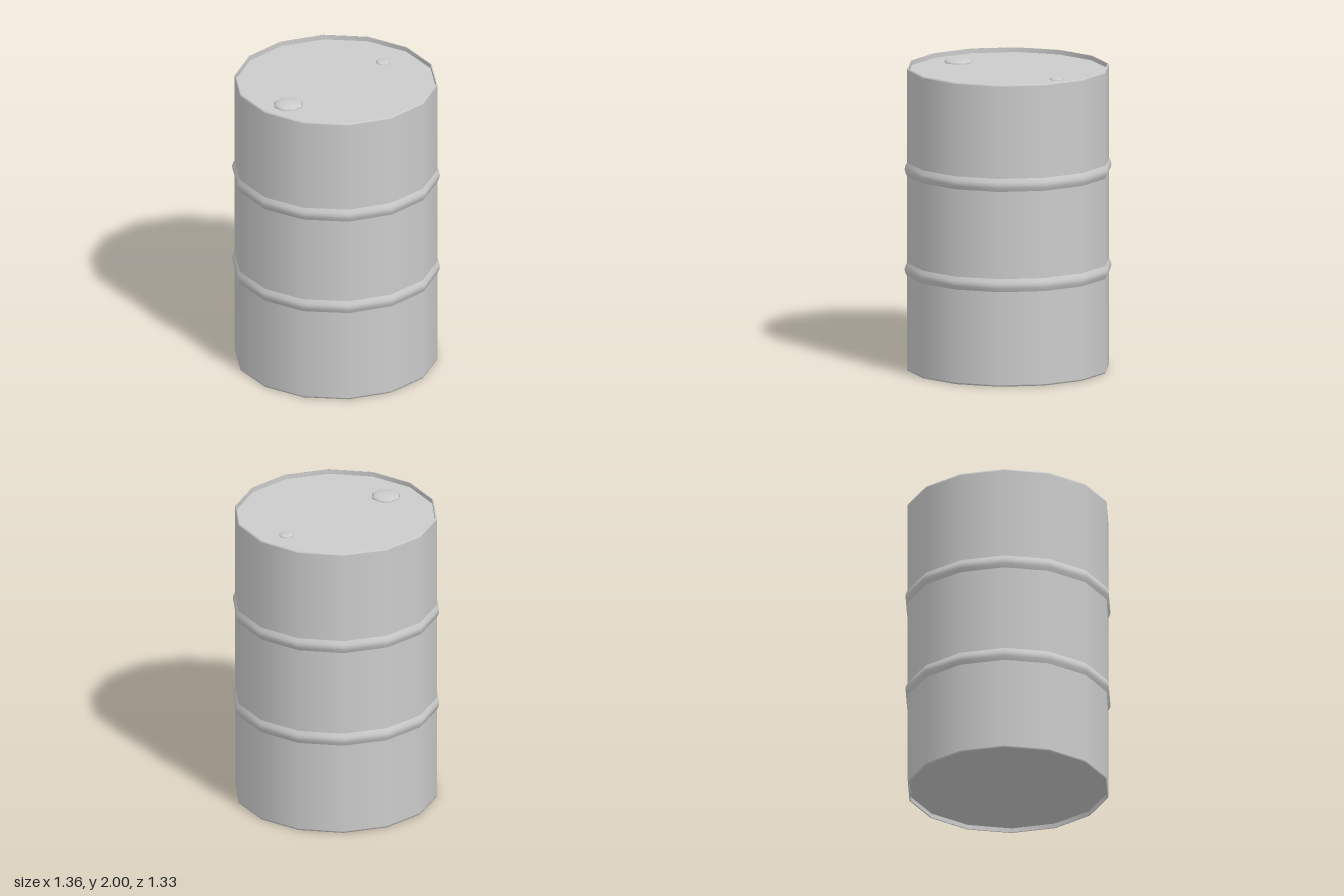
import * as THREE from 'three';

const SIDES = 14;
const R = 0.665;        // wall radius
const RIM = 0.655;      // inner radius of the rims
const RECESS = 0.03;    // depth of both ends below their rims

export function createModel() {
  const group = new THREE.Group();
  const material = new THREE.MeshStandardMaterial({ color: 0xcccccc });

  const add = (name, geometry) => {
    const mesh = new THREE.Mesh(geometry, material);
    mesh.name = name;
    group.add(mesh);
    return mesh;
  };

  // One smooth band of revolution; separate bands meet in a sharp edge
  const band = (name, points) =>
    add(name, new THREE.LatheGeometry(
      points.map(([r, y]) => new THREE.Vector2(r, y)), SIDES, Math.PI / 2));

  // Recessed bottom and its rim
  band('bottom', [[0, RECESS], [RIM, RECESS]]);
  band('bottomRimInside', [[RIM, RECESS], [RIM, 0]]);
  band('bottomRimEdge', [[RIM, 0], [R - 0.003, 0], [R, 0.01]]);

  // Wall sections separated by two rolling hoops
  const hoops = [0.67, 1.335];
  const half = 0.043;
  let y = 0.01;
  for (const h of hoops) {
    band('wall', [[R, y], [R, h - half]]);
    band('hoop', [
      [R, h - half], [R + 0.012, h - 0.018], [R + 0.015, h],
      [R + 0.012, h + 0.018], [R, h + half],
    ]);
    y = h + half;
  }
  band('wall', [[R, y], [R, 1.99]]);

  // Top rim and recessed lid
  band('topRimEdge', [[R, 1.99], [R - 0.003, 2], [RIM, 2]]);
  band('topRimInside', [[RIM, 2], [RIM, 2 - RECESS]]);
  band('lid', [[RIM, 2 - RECESS], [0, 2 - RECESS]]);

  // Low domed bungs on the lid
  const bung = (name, x, radius, height) => {
    const dome = new THREE.SphereGeometry(radius, 8, 4, 0, Math.PI * 2, 0, Math.PI / 2);
    dome.rotateY(Math.PI / 8).scale(1, height / radius, 1);
    add(name, dome).position.set(x, 2 - RECESS, 0);
  };
  bung('largeBung', -0.443, 0.098, 0.028);
  bung('smallBung', 0.44, 0.049, 0.016);

  return group;
}
